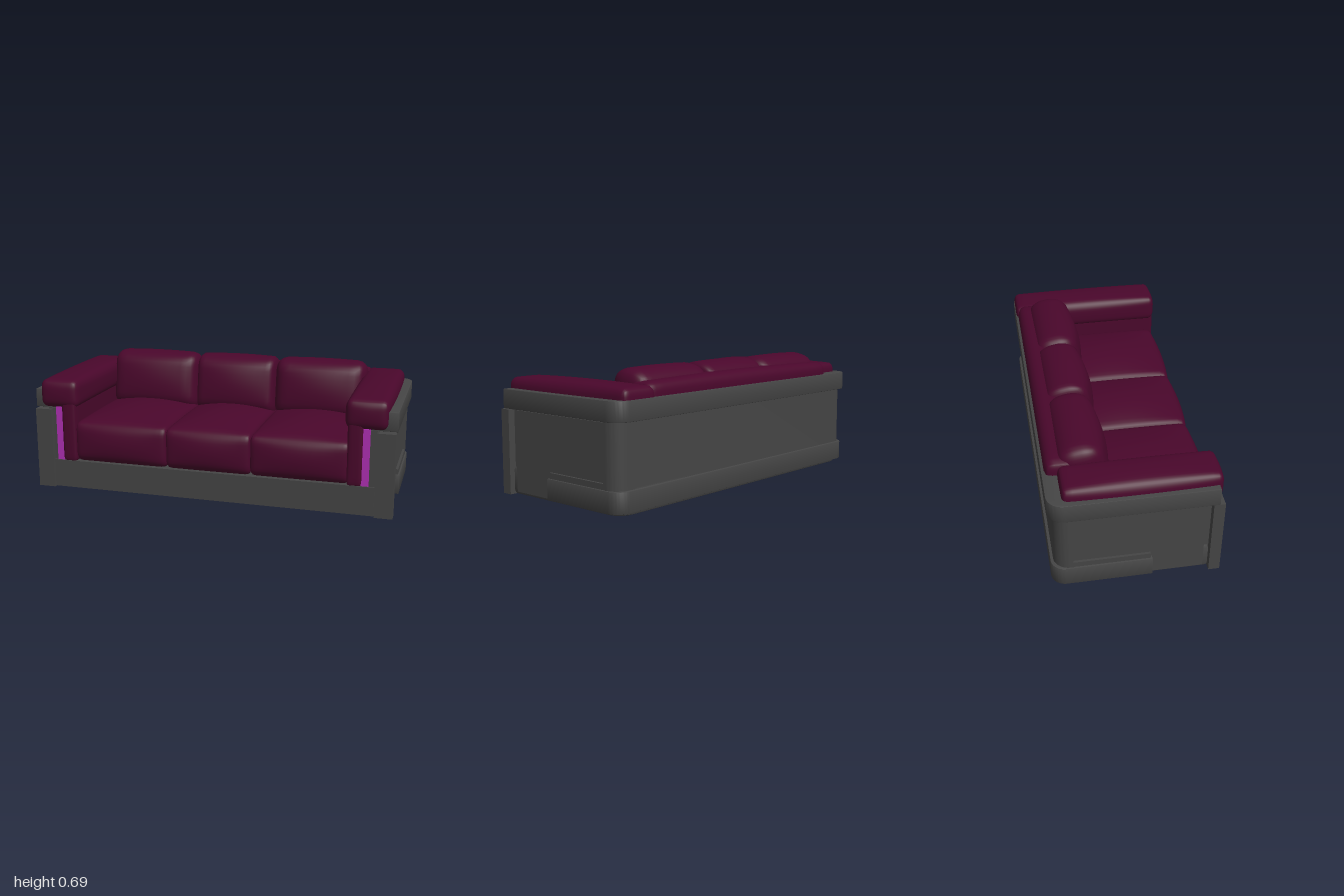
import * as THREE from 'three';
import { mergeVertices, toCreasedNormals } from 'three/addons/utils/BufferGeometryUtils.js';

const mat = (name, color) => Object.assign(new THREE.MeshStandardMaterial({ color }), { name });

export function createModel() {
  const sofa = new THREE.Group();
  sofa.name = 'sofa';
  const grey = mat('charcoal frame', 0x454545);
  const wine = mat('wine fabric', 0x49072b);
  const magenta = mat('magenta lining', 0xb030b4);

  const add = (name, geometry, material) => {
    const mesh = new THREE.Mesh(geometry, material);
    mesh.name = name;
    sofa.add(mesh);
    return mesh;
  };

  const box = (name, material, [x0, x1], [y0, y1], [z0, z1]) => {
    const mesh = add(name, new THREE.BoxGeometry(x1 - x0, y1 - y0, z1 - z0), material);
    mesh.position.set((x0 + x1) / 2, (y0 + y1) / 2, (z0 + z1) / 2);
  };

  // Plan outline with round back corners, raised from y0 to y1.
  // With "inner" the outline is an open-fronted U.
  const slab = (name, halfWidth, back, front, radius, y0, y1, bevel, inner) => {
    const w = halfWidth - bevel, b = -back - bevel, f = -front + bevel;
    const s = new THREE.Shape();
    s.moveTo(w, f);
    s.lineTo(w, b - radius);
    s.absarc(w - radius, b - radius, radius, 0, Math.PI / 2, false);
    s.absarc(-w + radius, b - radius, radius, Math.PI / 2, Math.PI, false);
    s.lineTo(-w, f);
    if (inner) {
      const iw = inner.halfWidth + bevel, ib = -inner.back + bevel;
      s.lineTo(-iw, f);
      s.lineTo(-iw, ib);
      s.lineTo(iw, ib);
      s.lineTo(iw, f);
    }
    const g = new THREE.ExtrudeGeometry(s, {
      depth: y1 - y0 - 2 * bevel, bevelEnabled: bevel > 0, bevelSize: bevel,
      bevelThickness: bevel, bevelSegments: 2, curveSegments: 8,
    });
    g.rotateX(-Math.PI / 2);
    g.translate(0, y0 + bevel, 0);
    add(name, toCreasedNormals(g, 0.6), grey);
  };

  // Rounded cushion: box with elliptical edges, puffed out on top, front and sides
  const cushion = (name, [x0, x1], [y0, y1], [z0, z1], radii, puff) => {
    const half = [(x1 - x0) / 2, (y1 - y0) / 2, (z1 - z0) / 2];
    const g0 = new THREE.BoxGeometry(2, 2, 2, 18, 18, 18);
    g0.deleteAttribute('uv');
    g0.deleteAttribute('normal');
    const g = mergeVertices(g0, 1e-4);
    const p = g.attributes.position;
    for (let i = 0; i < p.count; i++) {
      const u = [p.getX(i), p.getY(i), p.getZ(i)].map((t) => Math.sin(t * Math.PI / 2));
      const core = u.map((t, k) => THREE.MathUtils.clamp(t * half[k], radii[k] - half[k], half[k] - radii[k]));
      const d = u.map((t, k) => (t * half[k] - core[k]) / radii[k]);
      const len = Math.hypot(...d) || 1;
      const q = core.map((c, k) => c + d[k] / len * radii[k]);
      const n = q.map((t, k) => t / half[k]);
      const hump = n.map((t) => Math.max(0, 1 - t * t));
      q[0] += puff[0] * n[0] * hump[1] * hump[2];
      q[1] += puff[1] * Math.max(0, n[1]) * hump[0] * hump[2];
      q[2] += puff[2] * Math.max(0, n[2]) * hump[0] * hump[1];
      p.setXYZ(i, ...q);
    }
    g.computeVertexNormals();
    const mesh = add(name, g, wine);
    mesh.position.set((x0 + x1) / 2, (y0 + y1) / 2, (z0 + z1) / 2);
    return mesh;
  };

  // Frame: floor, walls, back corners, plinth and top band
  slab('floor', 0.96, -0.415, 0.37, 0.08, 0.003, 0.155, 0.02);
  slab('walls', 0.95, -0.405, 0.375, 0.08, 0.1, 0.47, 0, { halfWidth: 0.87, back: -0.33 });
  slab('backShell', 0.978, -0.415, -0.32, 0.08, 0.1, 0.47, 0, { halfWidth: 0.87, back: -0.33 });
  slab('plinth', 0.985, -0.43, 0.08, 0.07, 0.022, 0.13, 0.004);
  slab('topBand', 0.995, -0.44, 0.4, 0.08, 0.458, 0.56, 0.004, { halfWidth: 0.86, back: -0.33 });
  box('frontRail', grey, [-0.9, 0.89], [0.008, 0.163], [0.34, 0.418]);

  // Sides: panel, posts, lining and arms; the upholstery sits a touch off centre
  for (const s of [-1, 1]) {
    const span = (a, b) => (s > 0 ? [a, b] : [-b, -a]);
    const inset = (a, b) => span(a, b).map((x) => x - 0.008);
    box('sidePanelUpper', grey, span(0.94, 0.963), [0.15, 0.45], [-0.32, 0.345]);
    box('sidePanelLower', grey, span(0.94, 0.963), [0.02, 0.15], [0.07, 0.345]);
    box('plinthShoulder', grey, span(0.94, 0.976), [0.12, 0.16], [-0.33, 0.07]);
    box('frontPost', grey, span(0.893, 0.988), [0.005, 0.453], [0.372, 0.43]);
    box('postReturn', grey, inset(0.864, 0.91), [0.01, 0.46], [0.34, 0.41]);
    box('lining', magenta, inset(0.825, 0.867), [0.16, 0.465], [0.403, 0.411]);
    cushion('armInner', inset(0.75, 0.832), [0.155, 0.6], [-0.32, 0.418], [0.02, 0.03, 0.015], [0.01, 0, 0.004]);
    cushion('armPad', inset(0.736, 0.954), [0.46, 0.615], [s > 0 ? -0.435 : -0.365, 0.42],
      [0.035, 0.045, 0.03], [0.008, 0.013, 0.012]);
  }

  // Seat and back cushions, pressed lightly into each other
  const edges = [-0.762, -0.237, 0.232, 0.752];
  for (let i = 0; i < 3; i++) {
    const x = [edges[i] - 0.004, edges[i + 1] + 0.004];
    cushion('seatCushion', x, [0.16, 0.387], [-0.3, 0.415], [0.026, 0.05, 0.04], [0, 0.045, 0.028]);
    const outer = i === 1 ? 0.035 : 0.06;
    const back = cushion('backCushion', x, [0.34, 0.682], [-0.345, -0.122], [outer, 0.075, 0.1], [0, 0.008, 0.04]);
    back.rotation.x = -0.16;
  }
  cushion('backRoll', [-0.768, 0.762], [0.45, 0.63], [-0.425, -0.27], [0.03, 0.05, 0.05], [0, 0.01, 0]);

  return sofa;
}
